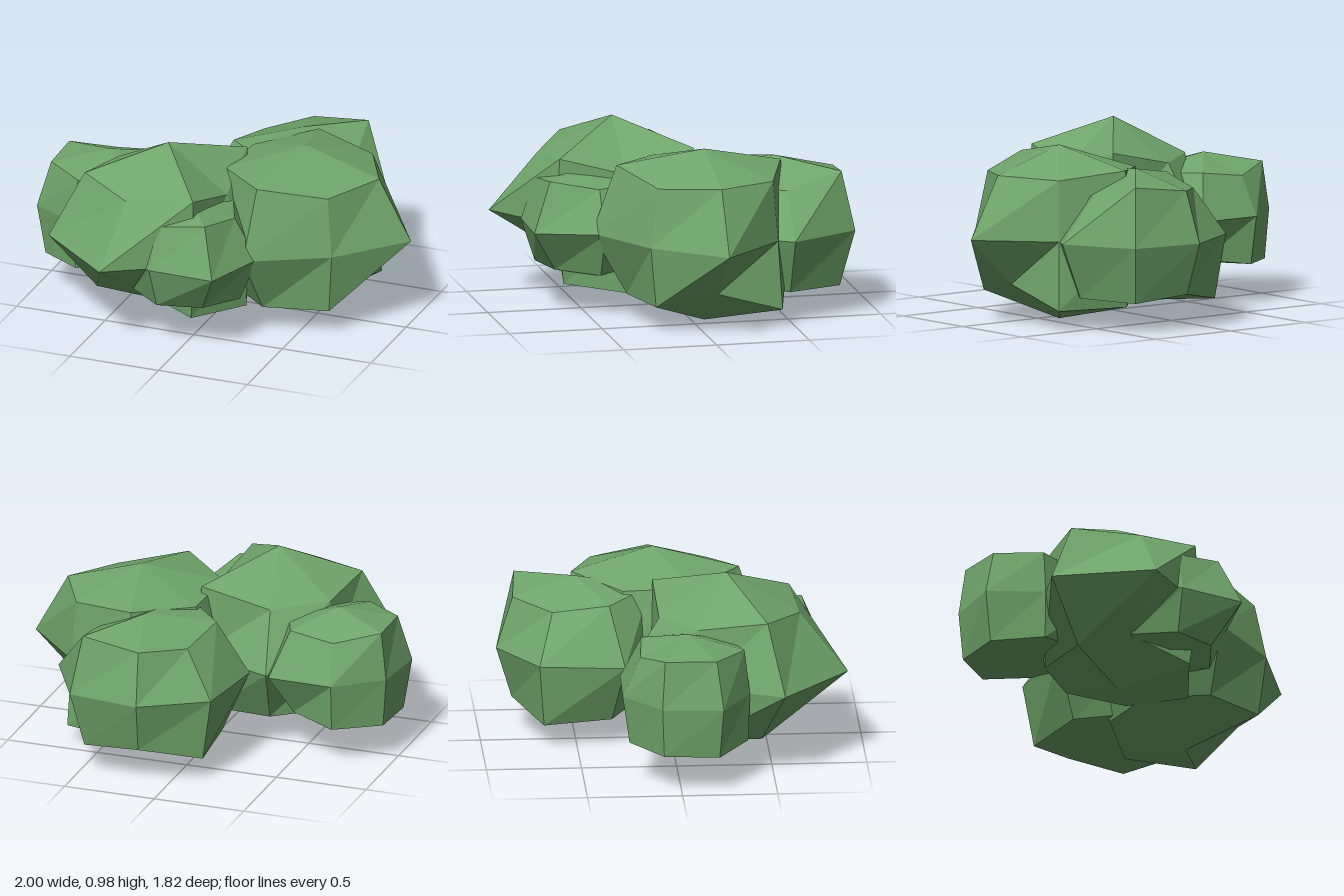
import * as THREE from 'three';

const SEGMENTS = 7;
const CENTRE_Y = 0.465;
const SQUASH = 0.8; // clumps are a little flatter than wide

// Faceted leaf clump: poles plus three rings of seven radii, angles running from +x to +z
function clumpGeometry({ top, bottom, upper, middle, lower }) {
  const points = [[0, top * SQUASH, 0]];
  [upper, middle, lower].forEach((ring, row) => {
    ring.forEach((r, k) => {
      const a = (k / SEGMENTS) * Math.PI * 2;
      points.push([r * Math.cos(a), row === 1 ? 0 : (1 - row) * r * SQUASH, r * Math.sin(a)]);
    });
  });
  points.push([0, -bottom * SQUASH, 0]);

  const last = points.length - 1;
  const at = (row, k) => 1 + row * SEGMENTS + (k % SEGMENTS);
  const index = [];
  for (let k = 0; k < SEGMENTS; k++) {
    index.push(0, at(0, k + 1), at(0, k));
    for (let row = 0; row < 2; row++) {
      const a = at(row, k), b = at(row, k + 1);
      const c = at(row + 1, k), d = at(row + 1, k + 1);
      index.push(a, b, d, a, d, c);
    }
    index.push(last, at(2, k), at(2, k + 1));
  }

  const indexed = new THREE.BufferGeometry();
  indexed.setAttribute('position', new THREE.Float32BufferAttribute(points.flat(), 3));
  indexed.setIndex(index);
  const geometry = indexed.toNonIndexed(); // separate faces give flat facets
  geometry.computeVertexNormals();
  return geometry;
}

// Ring radii are listed every 360/7 degrees
const CLUMPS = [
  {
    name: 'leftClump', x: 0.41, z: -0.07, top: 0.57, bottom: 0.58,
    upper: [0.41, 0.385, 0.46, 0.43, 0.41, 0.445, 0.4],
    middle: [0.59, 0.45, 0.59, 0.5, 0.5, 0.5, 0.43],
    lower: [0.32, 0.406, 0.406, 0.4, 0.4, 0.456, 0.456],
  },
  {
    name: 'frontRightClump', x: -0.23, z: 0.28, top: 0.64, bottom: 0.5,
    upper: [0.33, 0.44, 0.39, 0.44, 0.385, 0.37, 0.476],
    middle: [0.45, 0.465, 0.645, 0.63, 0.42, 0.56, 0.5],
    lower: [0.44, 0.406, 0.28, 0.375, 0.38, 0.38, 0.4],
  },
  {
    name: 'backClump', x: 0.23, z: -0.49, top: 0.45, bottom: 0.42,
    upper: [0.29, 0.3, 0.4, 0.37, 0.31, 0.34, 0.39],
    middle: [0.49, 0.45, 0.45, 0.545, 0.485, 0.43, 0.47],
    lower: [0.37, 0.35, 0.36, 0.4, 0.425, 0.345, 0.38],
  },
  {
    name: 'rightClump', x: -0.65, z: 0.05, top: 0.39, bottom: 0.34,
    upper: [0.28, 0.28, 0.3, 0.31, 0.317, 0.26, 0.3],
    middle: [0.38, 0.38, 0.33, 0.385, 0.353, 0.357, 0.435],
    lower: [0.28, 0.28, 0.32, 0.34, 0.33, 0.32, 0.28],
  },
  {
    name: 'frontClump', x: -0.06, z: 0.447, top: 0.38, bottom: 0.38,
    upper: [0.27, 0.32, 0.28, 0.28, 0.28, 0.28, 0.28],
    middle: [0.4, 0.452, 0.352, 0.4, 0.4, 0.4, 0.4],
    lower: [0.3, 0.28, 0.28, 0.28, 0.28, 0.28, 0.28],
  },
];

export function createModel() {
  const leafGreen = new THREE.MeshStandardMaterial({ color: 0x6fa56a });
  leafGreen.name = 'leafGreen';

  const bush = new THREE.Group();
  bush.name = 'bush';
  for (const clump of CLUMPS) {
    const mesh = new THREE.Mesh(clumpGeometry(clump), leafGreen);
    mesh.name = clump.name;
    mesh.position.set(clump.x, CENTRE_Y, clump.z);
    bush.add(mesh);
  }
  return bush;
}
